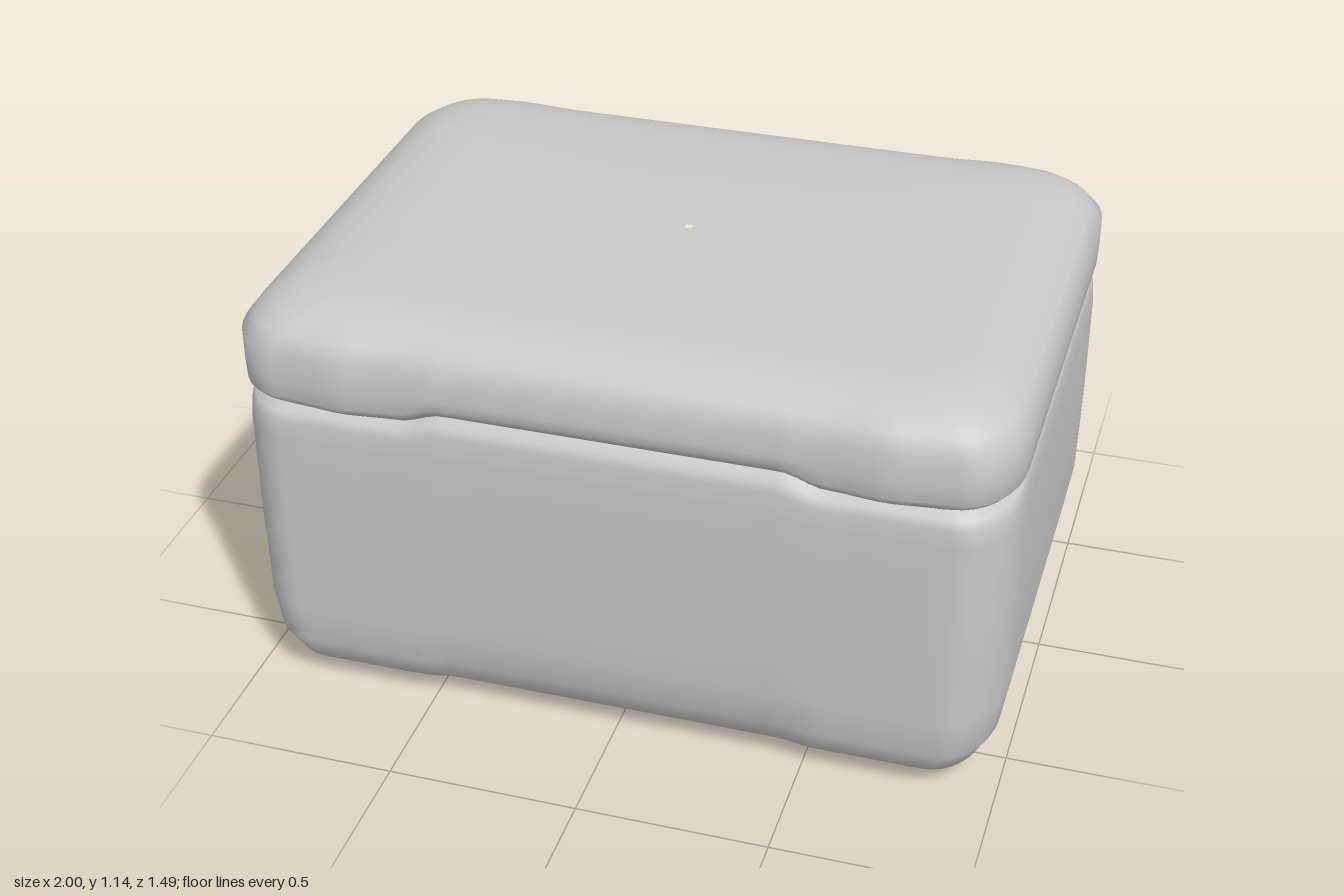
import * as THREE from 'three';

// Levels from bottom to top: [y, half width, half depth, share of the seam step]
const BODY = [
  [0, 0.01, 0.01, 0], [0, 0.72, 0.45, 0], [0.002, 0.80, 0.52, 0], [0.025, 0.885, 0.62, 0],
  [0.07, 0.945, 0.685, 0], [0.14, 0.977, 0.718, 0], [0.25, 0.993, 0.725, 0], [0.5, 0.998, 0.727, 0],
  [0.78, 0.998, 0.727, 0.2], [0.83, 0.993, 0.725, 0.8], [0.852, 0.985, 0.715, 1], [0.868, 0.962, 0.692, 1],
];
const LID = [
  [0.868, 0.962, 0.692, 1], [0.885, 0.985, 0.713, 1], [0.905, 0.998, 0.727, 1], [0.95, 1, 0.728, 0.3],
  [1.03, 1, 0.728, 0], [1.07, 0.97, 0.70, 0], [1.10, 0.93, 0.665, 0], [1.124, 0.88, 0.61, 0],
  [1.136, 0.81, 0.54, 0], [1.14, 0.72, 0.45, 0], [1.14, 0.01, 0.01, 0],
];

const step = THREE.MathUtils.smoothstep;

// One quarter of the rounded outline, from the middle of the side to the middle of the front
function quarterOutline() {
  const pts = [[1, 0], [1, 0.25], [1, 0.5]];
  for (let i = 0; i <= 8; i++) {
    const a = (i / 8) * Math.PI / 2;
    pts.push([0.86 + 0.14 * Math.cos(a), 0.72 + 0.28 * Math.sin(a)]);
  }
  for (const x of [0.8, 0.74, 0.7, 0.66, 0.6, 0.55, 0.52, 0.49, 0.46, 0.43, 0.3, 0.15, 0]) pts.push([x, 1]);
  return pts;
}

// Mirror the quarter into a full loop
function outline() {
  const q = quarterOutline();
  const half = [...q, ...q.slice(0, -1).reverse().map(([x, z]) => [-x, z])];
  return [...half, ...half.slice(1, -1).reverse().map(([x, z]) => [x, -z])];
}

// Loft the outline through the levels, with the raised seam in the middle of front and back
function loft(levels, bulge) {
  const ring = outline(), n = ring.length, pos = [], index = [];
  levels.forEach(([y, w, d, share], row) => {
    for (const [u, v] of ring) {
      const x = u * w;
      const face = step(Math.abs(v), 0.9, 1);
      const middle = face * (1 - step(Math.abs(x), 0.43, 0.54));
      const side = (1 - step(Math.abs(v), 0.5, 0.9)) * 0.008;
      const ear = face * bulge * Math.exp(-(((Math.abs(x) - 0.69) / 0.09) ** 2)) * step(d, 0.55, 0.72);
      const scoop = y > 0 && y < 0.22 ? middle * 0.015 : 0;
      pos.push(x, y + share * (0.03 * middle + side), v * d + Math.sign(v) * (ear - scoop));
    }
    if (row === 0) return;
    for (let i = 0; i < n; i++) {
      const a = (row - 1) * n + i, b = (row - 1) * n + (i + 1) % n;
      index.push(a, a + n, b, b, a + n, b + n);
    }
  });
  const g = new THREE.BufferGeometry();
  g.setAttribute('position', new THREE.Float32BufferAttribute(pos, 3));
  g.setIndex(index);
  g.computeVertexNormals();
  return g;
}

export function createModel() {
  const group = new THREE.Group();
  group.name = 'lunchBox';
  const grey = new THREE.MeshStandardMaterial({ color: 0xc8c8c8 });
  grey.name = 'lightGrey';

  const body = new THREE.Mesh(loft(BODY, 0), grey);
  body.name = 'body';
  const lid = new THREE.Mesh(loft(LID, 0.016), grey);
  lid.name = 'lid';
  group.add(body, lid);
  return group;
}
